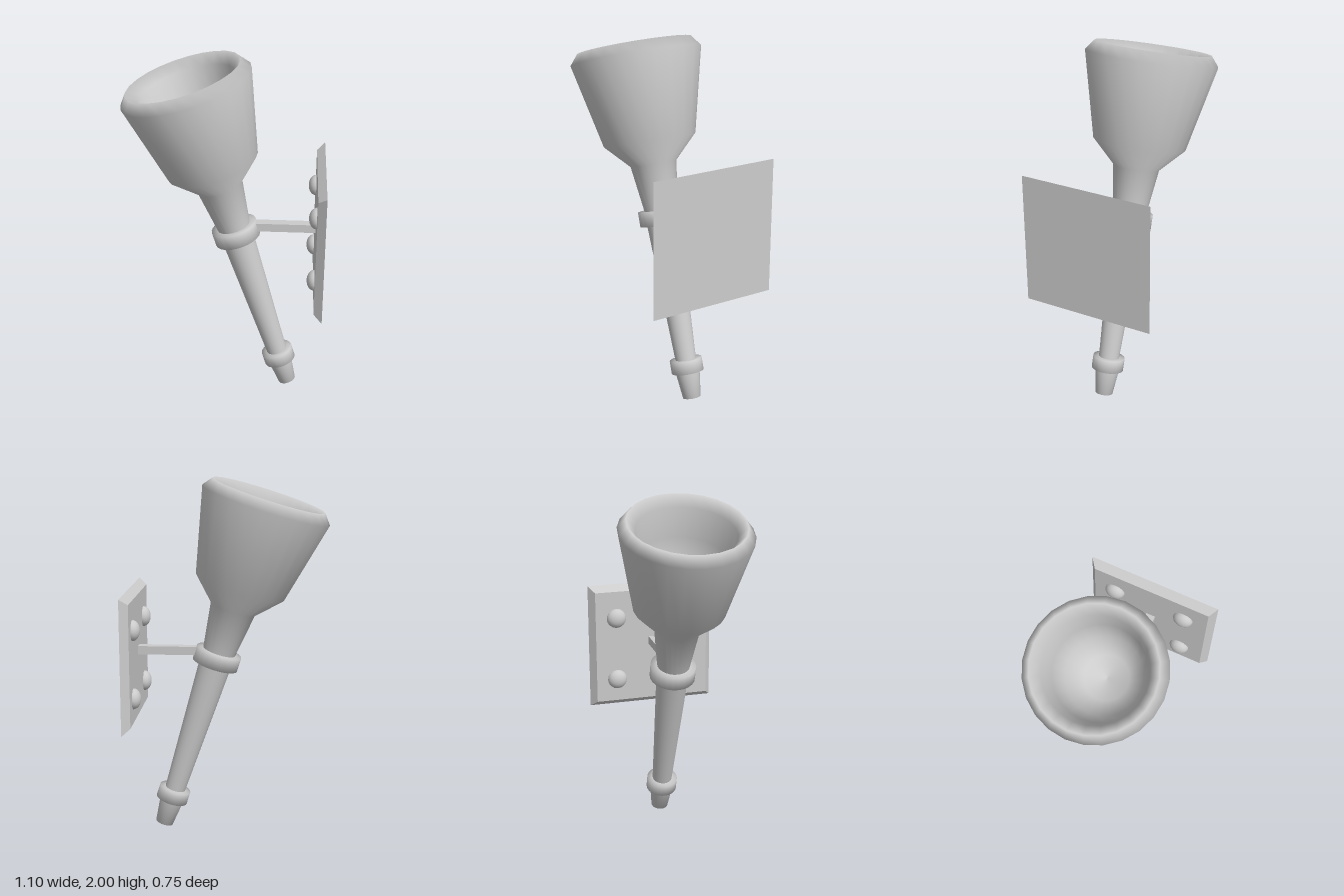
import * as THREE from 'three';

const grey = new THREE.MeshStandardMaterial({ color: 0xcccccc });
const greyFlat = new THREE.MeshStandardMaterial({ color: 0xcccccc, flatShading: true });

function addMesh(parent, name, geometry, material = grey) {
  const mesh = new THREE.Mesh(geometry, material);
  mesh.name = name;
  parent.add(mesh);
  return mesh;
}

// Turned part from [radius, height] pairs, listed from the bottom up
function turned(parent, name, profile) {
  const points = profile.map(([r, y]) => new THREE.Vector2(r, y));
  return addMesh(parent, name, new THREE.LatheGeometry(points, 24));
}

export function createModel() {
  const model = new THREE.Group();
  model.name = 'wallTorch';

  // Leaning torch, turned around its own axis
  const torch = new THREE.Group();
  torch.name = 'torch';
  torch.position.set(0.368, 0.02, 0.007);
  torch.rotation.z = THREE.MathUtils.degToRad(17.45);
  model.add(torch);

  turned(torch, 'tip', [[0, 0], [0.05, 0], [0.068, 0.15]]);
  turned(torch, 'lowerCollar', [[0.05, 0.147], [0.09, 0.147], [0.09, 0.219], [0.05, 0.219]]);
  turned(torch, 'shaft', [[0.057, 0.2], [0.091, 1.0]]);
  turned(torch, 'upperCollar', [[0.08, 0.987], [0.129, 0.987], [0.129, 1.068], [0.08, 1.068]]);
  turned(torch, 'cup', [
    [0.09, 1.05], [0.128, 1.323], [0.255, 1.454], [0.362, 1.92], [0.318, 1.976], // outside
    [0.268, 1.92], [0.245, 1.75], [0.205, 1.6], [0.12, 1.51], [0, 1.48], // hollow
  ]);

  // Arm from the upper collar to the wall plate
  addMesh(model, 'arm', new THREE.BoxGeometry(0.38, 0.047, 0.053), greyFlat)
    .position.set(0.32, 1.043, 0.007);

  // Square wall plate with bevelled sides, wider towards the wall
  const plate = new THREE.CylinderGeometry(0.373 * Math.SQRT2, 0.338 * Math.SQRT2, 0.045, 4);
  plate.rotateY(Math.PI / 4).rotateZ(-Math.PI / 2);
  addMesh(model, 'wallPlate', plate, greyFlat).position.set(0.5225, 1.018, 0);

  // Domed bolt heads
  const bolt = new THREE.SphereGeometry(0.058, 16, 8, 0, Math.PI * 2, 0, Math.PI / 2);
  bolt.scale(1, 0.72, 1).rotateZ(Math.PI / 2);
  for (const y of [0.815, 1.195]) {
    for (const z of [-0.214, 0.199]) {
      addMesh(model, 'bolt', bolt).position.set(0.5, y, z);
    }
  }
  return model;
}
